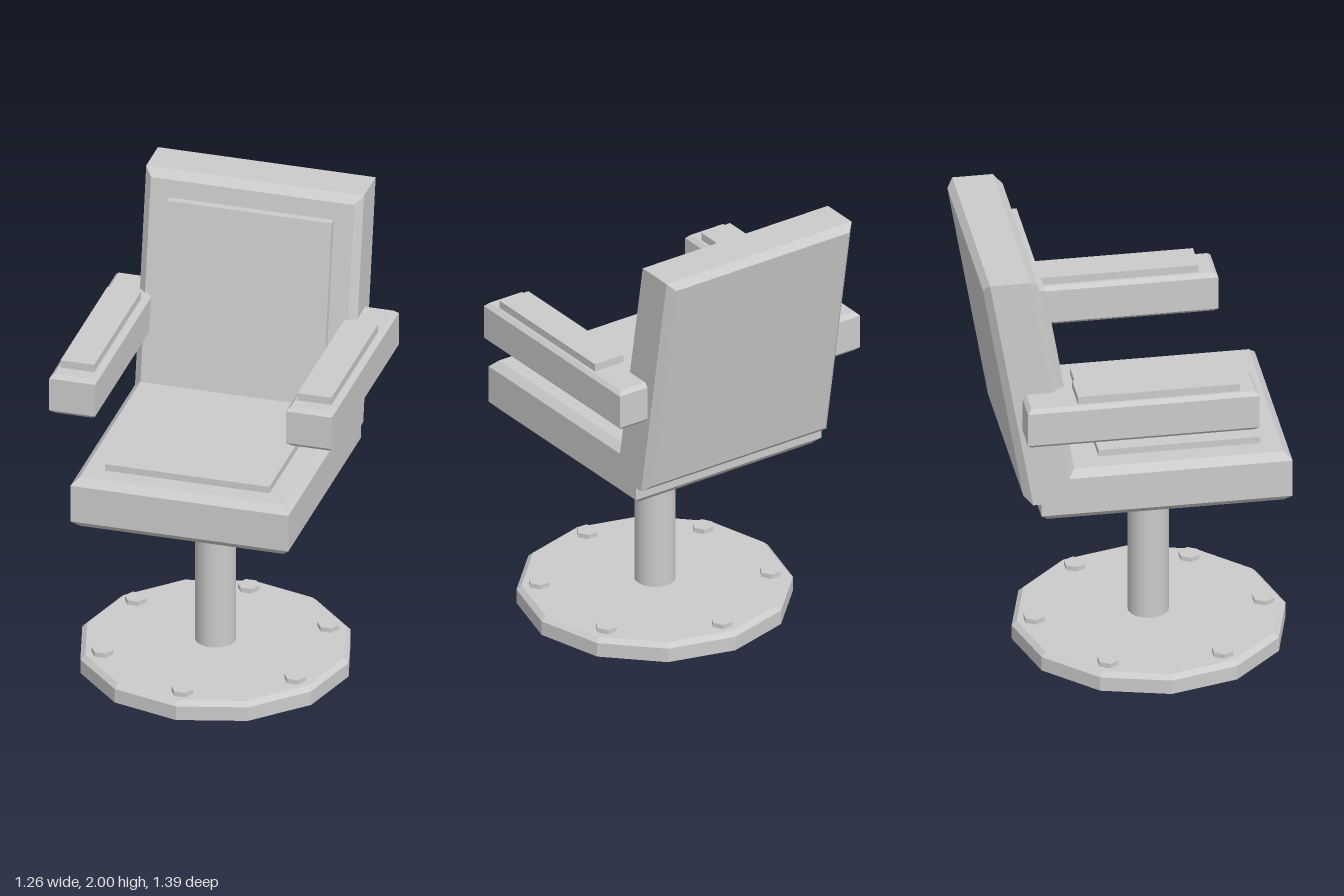
import * as THREE from 'three';

const smooth = new THREE.MeshStandardMaterial({ color: 0xcccccc });
const flat = new THREE.MeshStandardMaterial({ color: 0xcccccc, flatShading: true });
const LEAN = -0.172; // z shift per unit of height on the backrest

// Box centred on the origin, chamfered around its two z faces
function chamferedBox(w, h, d, b) {
  const x = w / 2 - b, y = h / 2 - b;
  const shape = new THREE.Shape([
    new THREE.Vector2(-x, -y), new THREE.Vector2(x, -y),
    new THREE.Vector2(x, y), new THREE.Vector2(-x, y),
  ]);
  const g = new THREE.ExtrudeGeometry(shape, {
    depth: d - 2 * b, bevelEnabled: true, bevelSegments: 1, bevelSize: b, bevelThickness: b,
  });
  return g.translate(0, 0, -(d / 2 - b));
}

// Same box lying down: chamfers around the top and bottom faces
const slab = (w, h, d, b) => chamferedBox(w, d, h, b).rotateX(-Math.PI / 2);

const lean = (g) => g.applyMatrix4(new THREE.Matrix4().makeShear(0, 0, 0, LEAN, 0, 0));

export function createModel() {
  const model = new THREE.Group();
  model.name = 'pedestalChair';

  const add = (name, geometry, x, y, z, material = flat, parent = model) => {
    const mesh = new THREE.Mesh(geometry, material);
    mesh.name = name;
    mesh.position.set(x, y, z);
    parent.add(mesh);
    return mesh;
  };

  // Twelve-sided floor plate with a chamfered rim
  const cz = 0.105, R = 0.592;
  add('basePlate', new THREE.CylinderGeometry(R, R, 0.065, 12), 0, 0.0325, cz);
  add('baseRim', new THREE.CylinderGeometry(R - 0.022, R, 0.02, 12), 0, 0.075, cz);

  // Ring of hexagonal bolts
  const bolts = new THREE.Group();
  bolts.name = 'bolts';
  model.add(bolts);
  const boltGeometry = new THREE.CylinderGeometry(0.048, 0.048, 0.024, 6, 1, false, Math.PI / 2);
  for (let i = 0; i < 6; i++) {
    const a = (i * Math.PI) / 3;
    add('bolt', boltGeometry, 0.495 * Math.sin(a), 0.094, cz + 0.495 * Math.cos(a), flat, bolts);
  }

  // Column
  add('column', new THREE.CylinderGeometry(0.088, 0.088, 0.74, 32), 0, 0.465, 0.103, smooth);

  // Seat and its cushion
  add('seat', slab(0.968, 0.235, 1.085, 0.032), 0, 0.943, 0.103);
  add('seatCushion', new THREE.BoxGeometry(0.73, 0.05, 0.7), 0, 1.066, 0.177);

  // Leaning backrest and its cushion
  add('backrest', lean(chamferedBox(0.968, 1.085, 0.239, 0.032)), 0, 1.4575, -0.481);
  add('backCushion', lean(new THREE.BoxGeometry(0.73, 0.71, 0.05)), 0, 1.535, -0.3675);

  // Armrests with pads
  for (const [side, s] of [['left', 1], ['right', -1]]) {
    const arm = new THREE.Group();
    arm.name = side + 'Armrest';
    model.add(arm);
    add(side + 'Arm', slab(0.204, 0.186, 1.0, 0.017), s * 0.526, 1.363, -0.022, flat, arm);
    add(side + 'ArmPad', new THREE.BoxGeometry(0.15, 0.05, 0.7), s * 0.527, 1.466, 0.048, flat, arm);
  }

  return model;
}
